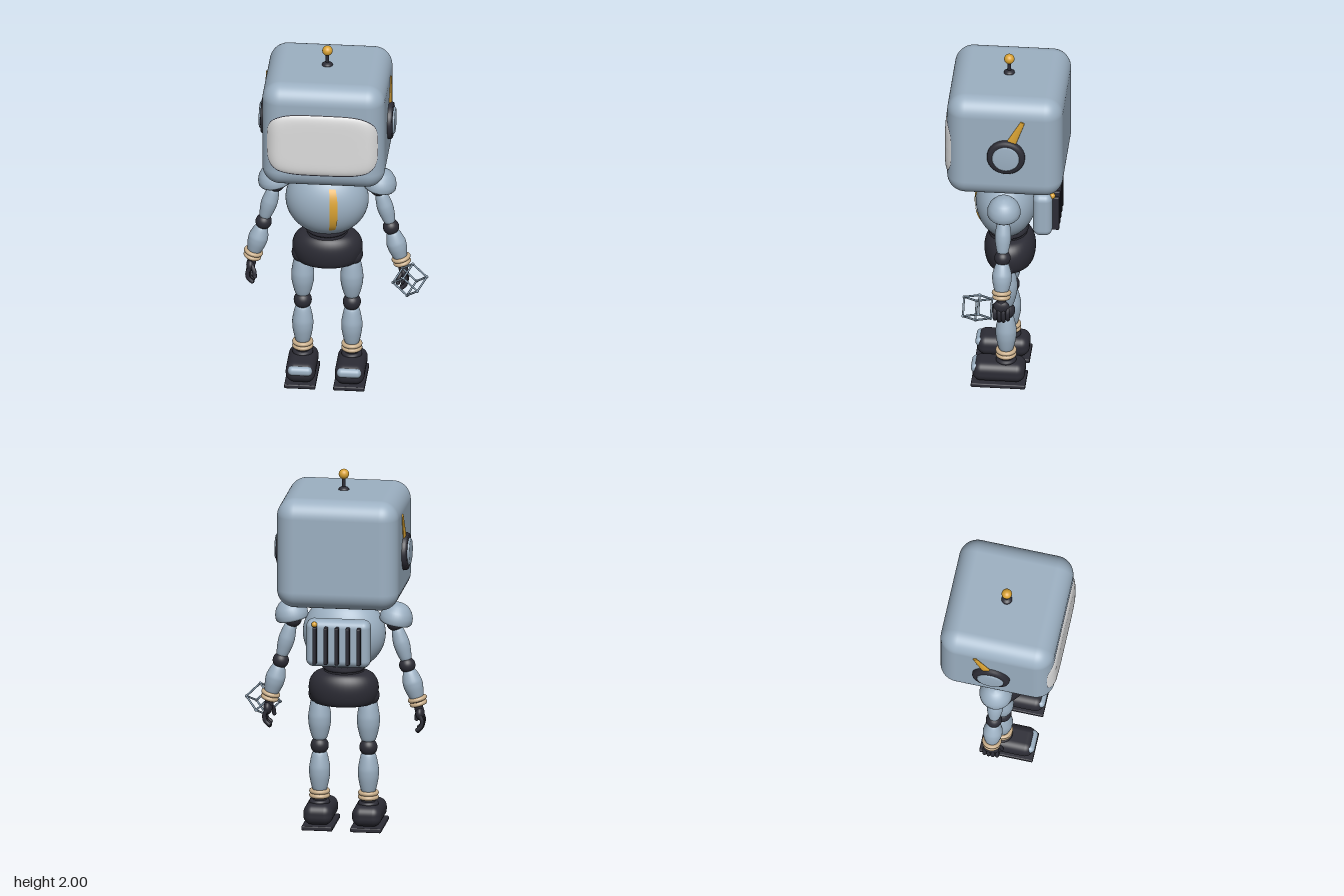
import * as THREE from 'three';
import { RoundedBoxGeometry } from 'three/addons/geometries/RoundedBoxGeometry.js';

const mat = (name, color, side = THREE.FrontSide) => {
  const m = new THREE.MeshStandardMaterial({ color, side });
  m.name = name;
  return m;
};
const V = (x, y, z = 0) => new THREE.Vector3(x, y, z);
const UP = V(0, 1, 0);

export function createModel() {
  const blue = mat('blueGrey', 0x9cb0c2);
  const dark = mat('charcoal', 0x2c2c35);
  const gold = mat('gold', 0xd9a233, THREE.DoubleSide);
  const tan = mat('tan', 0xc9ae8a);
  const white = mat('screenGrey', 0xdedede, THREE.DoubleSide);
  const steel = mat('steel', 0x8195a7);

  const root = new THREE.Group();
  root.name = 'robot';
  const body = new THREE.Group();
  body.name = 'body';
  body.position.x = -0.053;
  root.add(body);

  const add = (name, geo, m, x = 0, y = 0, z = 0, parent = body) => {
    const mesh = new THREE.Mesh(geo, m);
    mesh.name = name;
    mesh.position.set(x, y, z);
    parent.add(mesh);
    return mesh;
  };
  const ball = (name, m, r, x, y, z) => add(name, new THREE.SphereGeometry(r, 28, 20), m, x, y, z);
  // Lathe through [radius, height] points, smoothed on request
  const lathe = (pts, smooth = true, seg = 40) => {
    let p = pts.map(([r, y]) => new THREE.Vector2(r, y));
    if (smooth) p = new THREE.SplineCurve(p).getPoints(32).map(q => q.set(Math.max(q.x, 0), q.y));
    return new THREE.LatheGeometry(p, seg);
  };
  // Swollen limb from a to b: end radius, widest radius, other end radius
  const limb = (name, m, a, b, r0, rMid, r1) => {
    const d = b.clone().sub(a);
    const pts = [[r0 * 0.6, 0], [r0, 0.03], [rMid * 0.96, 0.33], [rMid, 0.5], [rMid * 0.92, 0.7], [r1, 0.97], [r1 * 0.6, 1]];
    const mesh = add(name, lathe(pts.map(([r, t]) => [r, t * d.length()]), true, 28), m, a.x, a.y, a.z);
    mesh.quaternion.setFromUnitVectors(UP, d.normalize());
    return mesh;
  };
  const rod = (name, m, a, b, r0, r1 = r0, seg = 10, parent = body) => {
    const d = b.clone().sub(a), c = a.clone().add(b).multiplyScalar(0.5);
    const mesh = add(name, new THREE.CylinderGeometry(r1, r0, d.length(), seg), m, c.x, c.y, c.z, parent);
    mesh.quaternion.setFromUnitVectors(UP, d.normalize());
    return mesh;
  };
  const band = (name, p, r, dir) => {
    const mesh = add(name, new THREE.TorusGeometry(r, 0.012, 12, 36), tan, p.x, p.y, p.z);
    mesh.quaternion.setFromUnitVectors(V(0, 0, 1), dir);
  };

  // Head
  add('head', new RoundedBoxGeometry(0.664, 0.608, 0.627, 8, 0.1), blue, 0, 1.582, -0.004);

  // Face plate: superellipse rings that follow the rounded front of the head
  const headFront = x => {
    const e = Math.max(0, Math.abs(x) - 0.232);
    return 0.21 + Math.sqrt(Math.max(0, 0.01 - e * e));
  };
  const facePlate = (grow, lift) => {
    const rings = 16, seg = 72, pos = [], idx = [];
    for (let i = 0; i <= rings; i++) for (let j = 0; j <= seg; j++) {
      const r = Math.sin((i / rings) * Math.PI / 2), a = (j / seg) * Math.PI * 2;
      const c = Math.cos(a), s = Math.sin(a);
      const x = Math.sign(c) * Math.sqrt(Math.abs(c)) * (0.301 + grow) * r;
      const y = Math.sign(s) * Math.sqrt(Math.abs(s)) * (0.182 + grow) * r;
      pos.push(x, y, headFront(x) + lift * (1 - r ** 10) - 0.002);
    }
    for (let i = 0; i < rings; i++) for (let j = 0; j < seg; j++) {
      const a = i * (seg + 1) + j, b = a + seg + 1;
      idx.push(a, b, b + 1, a, b + 1, a + 1);
    }
    const g = new THREE.BufferGeometry();
    g.setAttribute('position', new THREE.Float32BufferAttribute(pos, 3));
    g.setIndex(idx);
    g.computeVertexNormals();
    return g;
  };
  add('screenRim', facePlate(0.006, 0.008), dark, 0, 1.555, 0);
  add('screen', facePlate(0, 0.014), white, 0, 1.555, 0.001);

  // Antenna
  add('antennaBase', lathe([[0.03, 0], [0.026, 0.01], [0.012, 0.018], [0, 0.02]]), dark, 0, 1.884, -0.005);
  rod('antennaStem', dark, V(0, 1.88, -0.005), V(0, 1.965, -0.005), 0.01);
  ball('antennaTip', gold, 0.028, 0, 1.972, -0.005);

  // Neck, torso, waist and pelvis
  add('neck', lathe([[0, 0], [0.1, 0], [0.075, 0.035], [0.085, 0.08], [0, 0.08]], false), dark, 0, 1.225, 0);
  const torsoR = y => 0.225 * Math.sqrt(1 - ((y - 1.085) / 0.208) ** 2);
  const torsoPts = [[0, 0.895]], stripePts = [];
  for (let i = 0; i <= 24; i++) {
    const y = 0.895 + i * 0.36 / 24;
    torsoPts.push([torsoR(y), y]);
    const t = i / 24, ys = 0.948 + t * 0.257;
    stripePts.push(new THREE.Vector2(torsoR(ys) + 0.009 * (1 - (2 * t - 1) ** 6) - 0.001, ys));
  }
  torsoPts.push([0, 1.255]);
  const torso = add('torso', lathe(torsoPts, false, 56), blue, 0, 0, 0.01);
  const stripe = add('chestStripe', new THREE.LatheGeometry(stripePts, 8, 0.125, 0.19), gold, 0, 0, 0.01);
  torso.scale.z = stripe.scale.z = 0.735;
  for (const [y, r] of [[0.897, 0.105], [0.873, 0.1]]) {
    const ring = add('waistRing', lathe([[0, -0.014], [r, -0.014], [r + 0.014, 0], [r, 0.014], [0, 0.014]], false), dark, 0, y, 0);
    ring.scale.z = 0.92;
  }
  const pelvis = add('pelvis', lathe([[0, 0.692], [0.13, 0.694], [0.172, 0.715], [0.19, 0.775], [0.182, 0.83], [0.15, 0.868], [0.1, 0.878], [0, 0.878]]), dark, 0, 0, -0.01);
  pelvis.scale.z = 0.73;

  // Backpack with cooling fins
  add('backpack', new RoundedBoxGeometry(0.35, 0.26, 0.105, 5, 0.04), blue, 0, 1.08, -0.198);
  for (let i = -2; i <= 2; i++)
    add('backpackFin', new RoundedBoxGeometry(0.022, 0.205, 0.06, 2, 0.006), dark, i * 0.06, 1.078, -0.257);
  ball('backpackLight', gold, 0.016, 0.125, 1.19, -0.25);

  for (const s of [-1, 1]) {
    // Ear and its tapered fin
    const ear = (name, pts, m) => {
      const e = add(name, lathe(pts, false), m, s * 0.32, 1.558, -0.018);
      e.rotation.z = -s * Math.PI / 2;
    };
    ear('earPad', [[0.103, 0], [0.103, 0.026], [0.096, 0.036], [0.08, 0.038], [0, 0.038]], dark);
    ear('earCap', [[0.074, 0], [0.074, 0.042], [0.066, 0.048], [0, 0.048]], blue);
    rod('earFin', gold, V(s * 0.336, 1.6, -0.025), V(s * 0.336, 1.78, -0.108), 0.031, 0.012, 20).scale.x = 0.4;

    // Shoulder
    const dome = add('shoulderPad', lathe([[0, -0.02], [0.082, -0.02], [0.09, -0.008], [0.089, 0.02], [0.078, 0.05], [0.055, 0.078], [0.03, 0.09], [0, 0.094]], false), blue, s * 0.284, 1.172, -0.002);
    dome.rotation.z = -s * 0.2;
    ball('shoulderJoint', dark, 0.047, s * 0.278, 1.153, 0);

    // Arm
    const elbow = V(s * 0.345, 0.918), wrist = V(s * 0.4, 0.73);
    limb('upperArm', blue, V(s * 0.29, 1.12), V(s * 0.34, 0.945), 0.032, 0.044, 0.03);
    ball('elbow', dark, 0.044, elbow.x, elbow.y, 0);
    limb('forearm', blue, V(s * 0.355, 0.89), V(s * 0.398, 0.732), 0.035, 0.053, 0.036);
    const armDir = wrist.clone().sub(elbow).normalize();
    band('wristBand', V(s * 0.4, 0.732), 0.041, armDir);
    band('wristBand', V(s * 0.406, 0.707), 0.037, armDir);
    rod('wrist', dark, V(s * 0.398, 0.735), V(s * 0.412, 0.66), 0.026, 0.024, 20);

    // Hand
    const palm = ball('palm', dark, 0.04, s * 0.415, 0.652, 0);
    palm.scale.set(0.6, 0.95, 1.1);
    const digit = (name, pts, r) => {
      add(name, new THREE.TubeGeometry(new THREE.CatmullRomCurve3(pts), 12, r, 10), dark);
      const tip = pts[pts.length - 1];
      ball(name + 'Tip', dark, r, tip.x, tip.y, tip.z);
    };
    for (let i = 0; i < 4; i++) {
      const z = (i - 1.5) * 0.023, k = i === 0 || i === 3 ? 0.88 : 1;
      digit('finger', [[0.418, 0], [0.43, -0.032], [0.425, -0.068], [0.405, -0.09]]
        .map(([x, y]) => V(s * x, 0.645 + y * k, z)), 0.0115);
    }
    digit('thumb', [V(s * 0.408, 0.66, 0.025), V(s * 0.392, 0.635, 0.045), V(s * 0.388, 0.605, 0.052)], 0.0115);

    // Leg
    const x = s * 0.133;
    ball('hip', dark, 0.06, x, 0.742, 0);
    limb('thigh', blue, V(x, 0.715), V(x, 0.488), 0.046, 0.062, 0.04);
    ball('knee', dark, 0.049, x, 0.452, 0);
    limb('shin', blue, V(x, 0.418), V(x, 0.2), 0.04, 0.057, 0.038);
    band('ankleBand', V(x, 0.198), 0.045, UP);
    band('ankleBand', V(x, 0.174), 0.045, UP);
    rod('ankle', dark, V(x, 0.12), V(x, 0.2), 0.04, 0.035, 28);
    add('ankleCollar', new THREE.TorusGeometry(0.042, 0.014, 12, 32), dark, x, 0.138, 0).rotation.x = Math.PI / 2;

    // Shoe: the top slopes gently down toward the toe
    const shoe = new RoundedBoxGeometry(0.16, 0.113, 0.285, 6, 0.048), p = shoe.attributes.position;
    for (let i = 0; i < p.count; i++)
      if (p.getY(i) > 0 && p.getZ(i) > 0) p.setY(i, p.getY(i) * (1 - 0.9 * p.getZ(i)));
    shoe.computeVertexNormals();
    add('shoe', new RoundedBoxGeometry(0.16, 0.113, 0.285, 6, 0.048), dark, x, 0.081, 0.037);
    add('toeCap', new RoundedBoxGeometry(0.13, 0.052, 0.07, 5, 0.024), blue, x, 0.1, 0.152);
    add('sole', new RoundedBoxGeometry(0.169, 0.024, 0.295, 2, 0.006), dark, x, 0.012, 0.037);
  }

  // Wire cube by the left hand, built from its three edge vectors
  const cube = new THREE.Group();
  cube.name = 'wireCube';
  cube.position.set(0.459, 0.665, 0.125);
  body.add(cube);
  const edges = [V(0.076, -0.075, 0), V(0.062, 0.061, 0.062), V(-0.043, -0.044, 0.087)];
  const corner = n => edges.reduce((c, e, k) => c.addScaledVector(e, (n >> k & 1) - 0.5), V(0, 0));
  for (let n = 0; n < 8; n++) {
    const c = corner(n);
    add('cubeCorner', new THREE.SphereGeometry(0.0085, 14, 10), steel, c.x, c.y, c.z, cube);
    for (let k = 0; k < 3; k++)
      if (!(n >> k & 1)) rod('cubeEdge', steel, c, corner(n | 1 << k), 0.0055, 0.0055, 8, cube);
  }
  return root;
}
